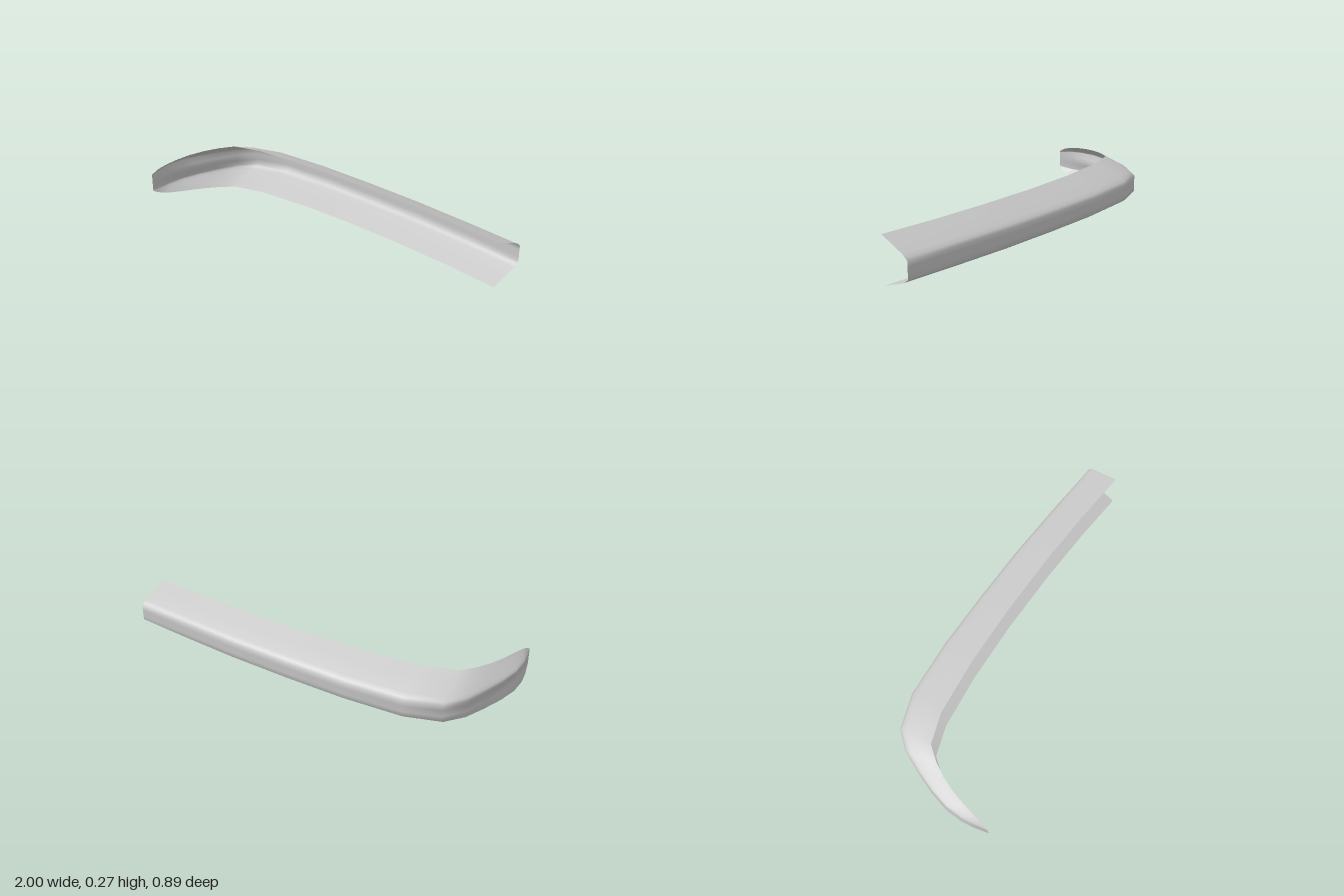
import * as THREE from 'three';

// Stations along the bar: outer ridge x,z / open rim x,z / half height of rim / groove amount
const stations = [
  [1.0, -0.45, 1.0, -0.265, 0.126, 0],
  [0.7, -0.446, 0.7, -0.264, 0.126, 0],
  [0.34, -0.436, 0.36, -0.25, 0.127, 0],
  [0.0, -0.413, 0.0, -0.222, 0.128, 0],
  [-0.34, -0.382, -0.34, -0.18, 0.13, 0],
  [-0.66, -0.33, -0.65, -0.12, 0.133, 0],
  [-0.84, -0.25, -0.81, -0.05, 0.132, 0.02],
  [-0.91, -0.15, -0.86, 0.03, 0.127, 0.06],
  [-0.95, -0.03, -0.895, 0.11, 0.121, 0.12],
  [-0.982, 0.09, -0.92, 0.2, 0.113, 0.2],
  [-0.999, 0.2, -0.932, 0.28, 0.103, 0.26],
  [-0.992, 0.3, -0.94, 0.35, 0.09, 0.26],
  [-0.975, 0.37, -0.945, 0.4, 0.076, 0.2],
  [-0.95, 0.445, -0.949, 0.445, 0.052, 0],
];
const midY = 0.136;

// Half cross-section as [depth 0..1 from ridge to rim, height above the middle]
function halfSection(rim, groove) {
  const corner = 0.044 + 0.05 * groove;
  const at = (k) => corner + (rim - corner) * k;
  return [
    [1, rim], [0.6, at(0.66)], [0.19, at(0.31)], [0.08, at(0.15)],
    [0, corner], [groove * 0.75, corner * 0.4],
  ];
}

// Open channel swept through the stations
function channelGeometry() {
  const positions = [], index = [];
  let n = 0;
  for (const [ox, oz, ix, iz, rim, groove] of stations) {
    const half = halfSection(rim, groove);
    const section = [...half, [groove, 0], ...half.map(([t, h]) => [t, -h]).reverse()];
    n = section.length;
    for (const [t, h] of section) {
      positions.push(ox + (ix - ox) * t, midY + h, oz + (iz - oz) * t);
    }
  }
  for (let i = 0; i < stations.length - 1; i++) {
    for (let j = 0; j < n - 1; j++) {
      const a = i * n + j, b = a + n;
      index.push(a, a + 1, b, a + 1, b + 1, b);
    }
  }
  const geometry = new THREE.BufferGeometry();
  geometry.setAttribute('position', new THREE.Float32BufferAttribute(positions, 3));
  geometry.setIndex(index);
  geometry.computeVertexNormals();
  return geometry;
}

export function createModel() {
  const group = new THREE.Group();
  group.name = 'curvedChannelBar';
  const metal = new THREE.MeshStandardMaterial({ color: 0xc8c8c8, side: THREE.DoubleSide });
  metal.name = 'light grey';
  const bar = new THREE.Mesh(channelGeometry(), metal);
  bar.name = 'channelShell';
  group.add(bar);
  return group;
}
